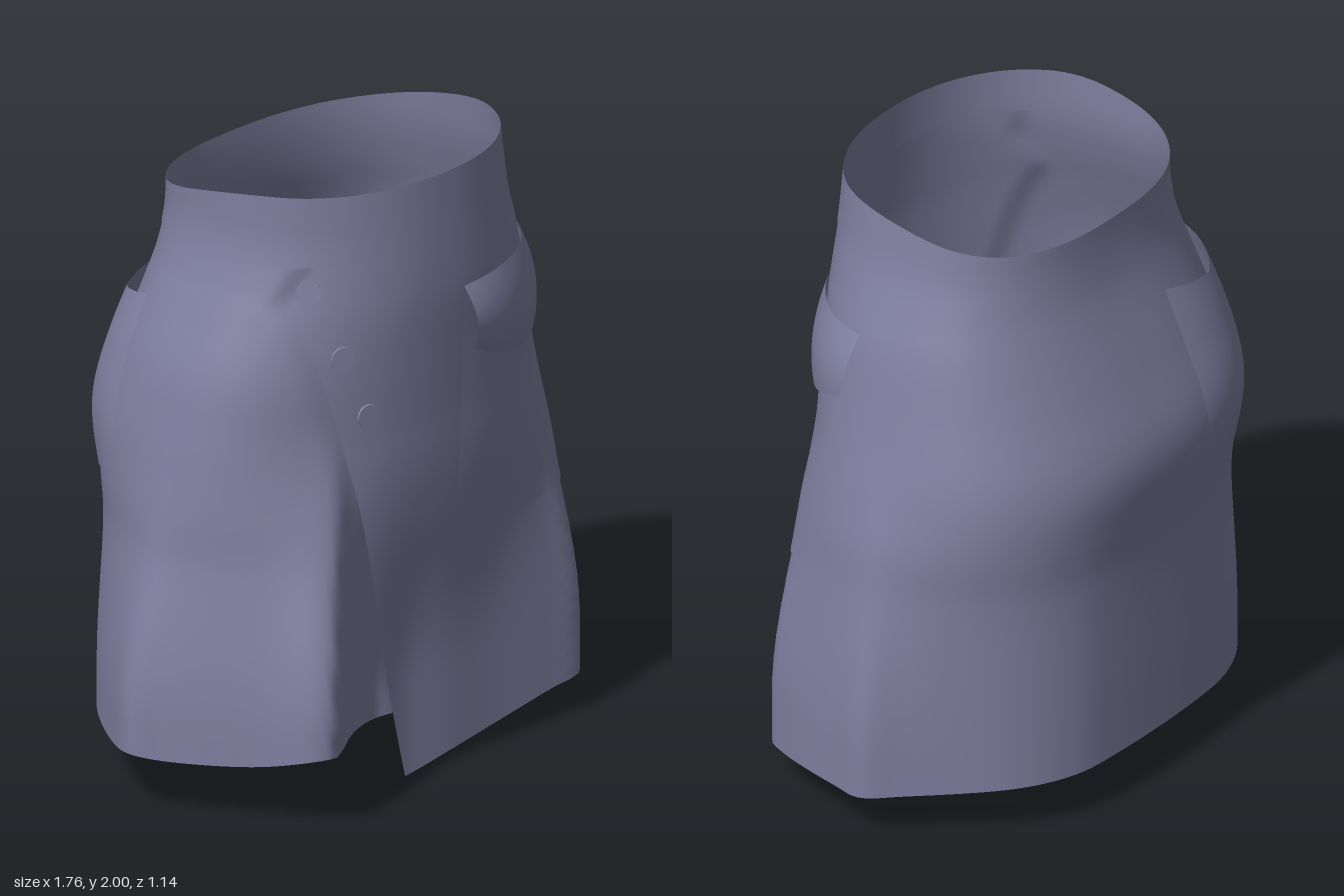
import * as THREE from 'three';
import { mergeVertices } from 'three/addons/utils/BufferGeometryUtils.js';

const RAD = Math.PI / 180;
const CZ = 0.04; // z of the axis that the cross-sections turn around
const { lerp, smoothstep, clamp } = THREE.MathUtils;

// Body profile: y, half width left (+x), half width right (-x), front z, back z
const PROFILE = [
  [0.15, 0.75, 0.7, 0.5, -0.52], [0.8, 0.755, 0.7, 0.52, -0.535],
  [0.95, 0.765, 0.722, 0.515, -0.558], [1.1, 0.75, 0.725, 0.507, -0.57],
  [1.2, 0.735, 0.72, 0.502, -0.555], [1.4, 0.693, 0.685, 0.508, -0.485],
  [1.6, 0.648, 0.615, 0.515, -0.415], [1.7, 0.615, 0.578, 0.512, -0.387],
  [1.83, 0.575, 0.546, 0.505, -0.37], [2, 0.548, 0.543, 0.496, -0.37],
];
const profile = new THREE.CubicInterpolant(
  PROFILE.map((p) => p[0]), PROFILE.flatMap((p) => p.slice(1)), 4);

// Hem path: from the front flap, round the left side, back and right side,
// over the front pleat and under the flap (x, y, z)
const HEM = [
  [-0.5, 0, 0.4], [-0.3, 0, 0.43], [-0.07, 0, 0.41], [0.1, 0.03, 0.42], [0.33, 0.065, 0.42],
  [0.58, 0.11, 0.43], [0.7, 0.125, 0.43], [0.76, 0.13, 0.34], [0.85, 0.14, 0.08],
  [0.877, 0.145, -0.03], [0.8, 0.15, -0.14], [0.56, 0.16, -0.41], [0.38, 0.16, -0.5],
  [0.2, 0.165, -0.525], [-0.2, 0.17, -0.525], [-0.4, 0.175, -0.5], [-0.58, 0.18, -0.41],
  [-0.8, 0.185, -0.15], [-0.88, 0.2, 0], [-0.84, 0.19, 0.09], [-0.7, 0.2, 0.36],
  [-0.61, 0.24, 0.54], [-0.55, 0.245, 0.57], [-0.48, 0.24, 0.53], [-0.37, 0.235, 0.46],
  [-0.28, 0.23, 0.42], [-0.18, 0.22, 0.39], [-0.06, 0.22, 0.405], [0.05, 0.21, 0.36],
  [0.13, 0.21, 0.3], [0.2, 0.2, 0.34], [0.34, 0.2, 0.4], [0.58, 0.2, 0.41], [0.7, 0.19, 0.37],
];

// Hem as rows of [angle, radius, height]; angle runs from +z towards +x and past a full turn
function hemTable() {
  const curve = new THREE.CatmullRomCurve3(HEM.map((p) => new THREE.Vector3(...p)));
  let last = null;
  return curve.getPoints(500).map((p) => {
    let a = Math.atan2(p.x, p.z - CZ);
    if (last !== null) {
      while (a < last - Math.PI) a += 2 * Math.PI;
      a = Math.max(a, last);
    }
    last = a;
    return [a, Math.hypot(p.x, p.z - CZ), Math.max(0, p.y)];
  });
}
const HEM_ROWS = hemTable();

// Linear lookup of radius (1) or height (2) along the hem
function hemAt(angle, col) {
  if (angle <= HEM_ROWS[0][0]) return HEM_ROWS[0][col];
  for (let i = 1; i < HEM_ROWS.length; i++) {
    const a = HEM_ROWS[i - 1], b = HEM_ROWS[i];
    if (angle <= b[0]) return lerp(a[col], b[col], (angle - a[0]) / (b[0] - a[0] || 1));
  }
  return HEM_ROWS[HEM_ROWS.length - 1][col];
}

// Radius of the cloth: an oval, squarer at the back, that eases into the pleated hem shape
function radius(a, y) {
  const s = Math.sin(a), c = Math.cos(a);
  const [left, right, front, back] = profile.evaluate(clamp(y, 0.15, 2));
  const rx = s > 0 ? left : right;
  const rz = c > 0 ? front - CZ : CZ - back;
  const n = c > 0 ? lerp(2.05, 2.2, smoothstep(y, 1.1, 1.8)) : 2.55;
  const oval = Math.pow(Math.pow(Math.abs(s) / rx, n) + Math.pow(Math.abs(c) / rz, n), -1 / n);
  const w = 1 - smoothstep(y, 0.3, 1.3);
  return w > 0 ? lerp(oval, hemAt(a, 1), w) : oval;
}

const polar = (a, y, r) => new THREE.Vector3(r * Math.sin(a), y, CZ + r * Math.cos(a));
const onCloth = (a, y, offset = 0) => polar(a, y, radius(a, y) + offset);

// Angle at which the front of the cloth reaches a given x
function angleAtX(x, y) {
  let a = -0.3;
  for (let i = 0; i < 8; i++) a = Math.asin(clamp(x / radius(a, y), -0.95, 0.95));
  return a;
}

// Angle of the straight, slanting free edge of the wrap at a height
function wrapEdge(y) {
  const x = y < 1.63 ? -0.07 - 0.264 * y : lerp(-0.5, -0.42, clamp((y - 1.63) / 0.14, 0, 1));
  return angleAtX(x, y);
}

// Grid surface from point(u, v): u runs round the body, v runs downwards
function sheet(nu, nv, point) {
  const pos = [], index = [];
  for (let j = 0; j <= nv; j++)
    for (let i = 0; i <= nu; i++) pos.push(...point(i / nu, j / nv).toArray());
  for (let j = 0; j < nv; j++)
    for (let i = 0; i < nu; i++) {
      const a = j * (nu + 1) + i, b = a + nu + 1;
      index.push(a, b, a + 1, b, b + 1, a + 1);
    }
  let g = new THREE.BufferGeometry();
  g.setAttribute('position', new THREE.Float32BufferAttribute(pos, 3));
  g.setIndex(index);
  g = mergeVertices(g, 1e-5);
  g.computeVertexNormals();
  return g;
}

export function createModel() {
  const skirt = new THREE.Group();
  skirt.name = 'wrapSkirt';
  const cloth = new THREE.MeshStandardMaterial({ color: 0x7f7fa0, side: THREE.DoubleSide });
  cloth.name = 'slate violet cloth';

  const add = (name, geometry) => {
    const mesh = new THREE.Mesh(geometry, cloth);
    mesh.name = name;
    skirt.add(mesh);
    return mesh;
  };

  // Wrapped body: one sheet whose end is tucked beneath its beginning at the front
  const top = 1.86, end = HEM_ROWS[HEM_ROWS.length - 1][0];
  add('wrapBody', sheet(220, 60, (u, v) => {
    const start = wrapEdge(top * (1 - v));
    const a = lerp(start, end, u);
    const y = lerp(top, hemAt(a, 2), v);
    const r = radius(a, y), front = a - 2 * Math.PI;
    const under = smoothstep(front, start - 0.16, start);
    if (under === 0) return polar(a, y, r);
    return polar(a, y, lerp(r, Math.min(r, radius(front, y)) - 0.018, under));
  }));

  // Waistband, dipping at the back
  add('waistband', sheet(120, 6, (u, v) => {
    const a = Math.PI + u * 2 * Math.PI;
    const z = onCloth(a, 2).z;
    const upper = 2 - 0.09 * smoothstep(-z, -0.25, 0.4);
    const lower = 1.8 + 0.03 * Math.sin(a);
    return onCloth(a, lerp(upper, lower, v), 0.003);
  }));

  // Patch that follows the cloth between two angles
  const patch = (name, a0, a1, upper, lower, offset) =>
    add(name, sheet(32, 20, (u, v) =>
      onCloth(lerp(a0(v), a1(v), u) * RAD, lerp(upper(u), lower(u), v), offset(u, v))));
  const arch = (u) => Math.sin(Math.PI * u);
  const puff = (u, v) => 0.005 + 0.012 * arch(u) * arch(v);

  // Front pocket and its flap
  patch('frontPocket', (v) => lerp(9.7, 10.5, v), (v) => lerp(81, 75, v),
    () => 1.6, (u) => 0.83 - 0.09 * arch(u), puff);
  patch('frontPocketFlap', (v) => lerp(9.3, 10.5, v), (v) => lerp(81.5, 79, v),
    () => 1.61, (u) => 1.405 - 0.095 * arch(u),
    (u, v) => 0.008 + 0.052 * Math.sin(v * Math.PI * 0.75) * (1 - 0.5 * u));

  // Back pocket, gaping a little at its notched top
  patch('backPocket', (v) => lerp(203, 200.5, v), (v) => lerp(247, 248, v),
    (u) => 1.58 - 0.05 * (1 - Math.abs(2 * u - 1)),
    (u) => 1.03 - 0.07 * arch(u),
    (u, v) => puff(u, v) + 0.04 * arch(u) * (1 - v));

  // Three buttons along the free edge
  const disc = new THREE.CylinderGeometry(0.039, 0.039, 0.009, 24).rotateX(Math.PI / 2);
  for (const [x, y] of [[-0.45, 1.7], [-0.38, 1.48], [-0.295, 1.275]]) {
    const a = angleAtX(x, y);
    const across = onCloth(a + 0.05, y).sub(onCloth(a - 0.05, y));
    const up = onCloth(a, y + 0.04).sub(onCloth(a, y - 0.04));
    const button = add('button', disc);
    button.position.copy(onCloth(a, y, 0.004));
    button.quaternion.setFromUnitVectors(new THREE.Vector3(0, 0, 1), across.cross(up).normalize());
  }
  return skirt;
}
